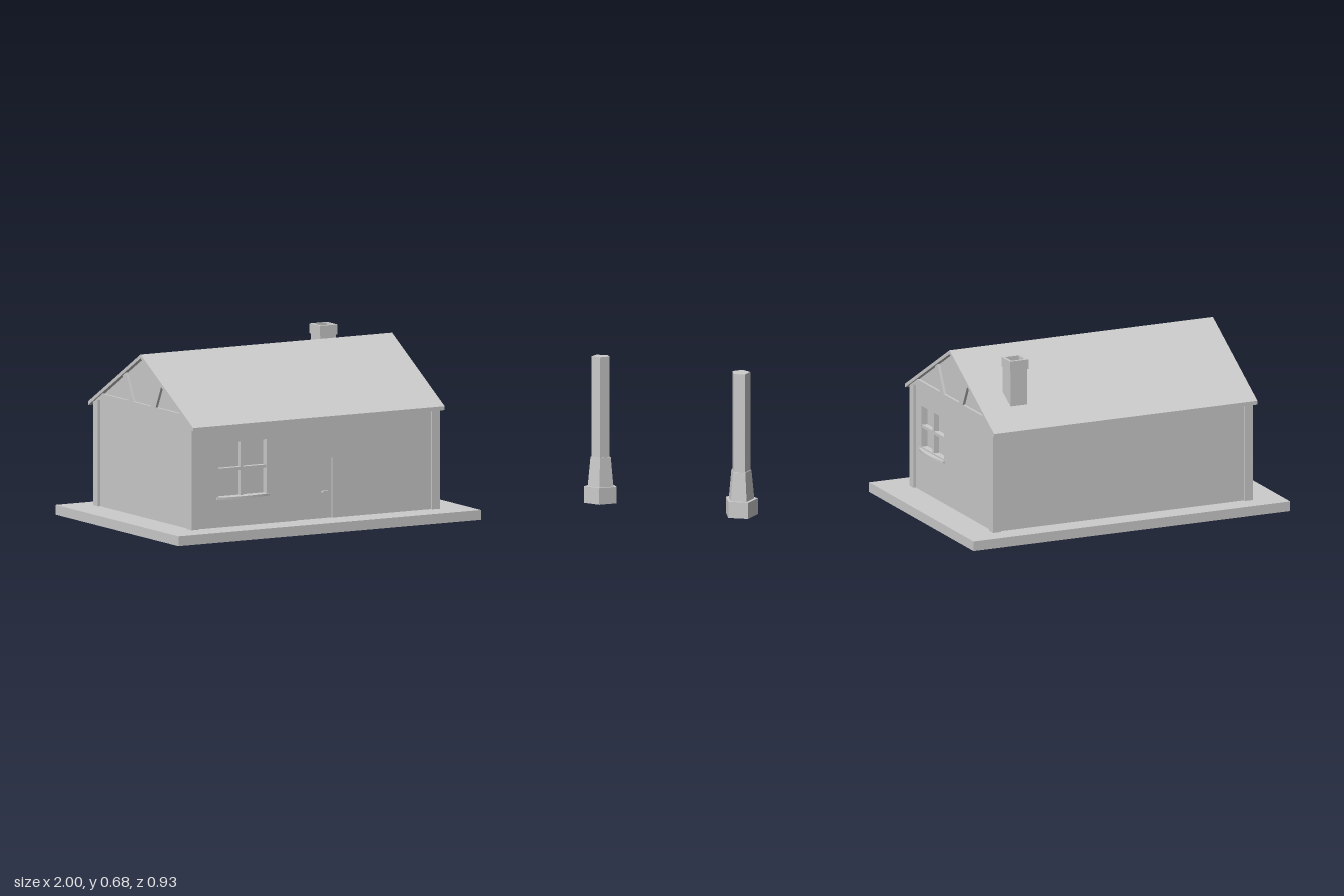
import * as THREE from 'three';

const material = new THREE.MeshStandardMaterial({ color: 0xcccccc, flatShading: true, side: THREE.DoubleSide });

const X = -0.33, Z = -0.014;          // centre of the house
const HX = 0.55, HZ = 0.374;          // outer half sizes at the corner posts
const INSET = 0.01, THICK = 0.03;     // wall setback and thickness
const FLOOR = 0.038, RIDGE = 0.655, SLOPE = 0.583;
const under = (s) => RIDGE - SLOPE * Math.abs(s);   // underside of the roof

function add(parent, name, geometry, x = 0, y = 0, z = 0) {
  const mesh = new THREE.Mesh(geometry, material);
  mesh.name = name;
  mesh.position.set(x, y, z);
  parent.add(mesh);
  return mesh;
}

function box(parent, name, x0, x1, y0, y1, z0, z1) {
  return add(parent, name, new THREE.BoxGeometry(x1 - x0, y1 - y0, z1 - z0),
    (x0 + x1) / 2, (y0 + y1) / 2, (z0 + z1) / 2);
}

const polygon = (points) => new THREE.Shape(points.map(([x, y]) => new THREE.Vector2(x, y)));
const rect = (x0, x1, y0, y1) => polygon([[x0, y0], [x1, y0], [x1, y1], [x0, y1]]);
const extrude = (shape, depth) =>
  new THREE.ExtrudeGeometry(shape, { depth, bevelEnabled: false, curveSegments: 8 });

// Four-pane window facing +z, centred on its opening at the wall face
function windowUnit(w, h, sillGap) {
  const g = new THREE.Group();
  g.name = 'window';
  const a = w / 2, b = h / 2, t = 0.006;
  box(g, 'glass', -a, a, -b, b, -0.028, -0.024);
  box(g, 'verticalBar', -t, t, -b, b, -0.024, -0.002);
  box(g, 'horizontalBar', -a, a, -t, t, -0.024, -0.002);
  // bowed sill
  const s = new THREE.Shape();
  s.moveTo(-a - 0.009, 0);
  s.lineTo(a + 0.009, 0);
  s.lineTo(a + 0.009, -0.008);
  s.quadraticCurveTo(0, -0.036, -a - 0.009, -0.008);
  const sill = add(g, 'sill', extrude(s, 0.009), 0, -b - sillGap - 0.009, 0);
  sill.rotation.x = -Math.PI / 2;
  return g;
}

// Gable end wall; local x runs along -z of the house
function gableEnd(house, side) {
  const g = new THREE.Group();
  g.name = side > 0 ? 'leftGable' : 'rightGable';
  const e = HZ - INSET;
  const wall = polygon([[-e, FLOOR], [e, FLOOR], [e, under(e)], [0, RIDGE], [-e, under(e)]]);
  const wx = side > 0 ? -0.187 : 0, wy = 0.294;
  if (side > 0) {
    wall.holes.push(rect(wx - 0.099, wx + 0.099, wy - 0.081, wy + 0.081));
    const win = windowUnit(0.198, 0.163, 0.005);
    win.position.set(wx, wy, -INSET);
    g.add(win);
  }
  add(g, 'gableWall', extrude(wall, THICK), 0, 0, -INSET - THICK);

  // tie beam and slanted braces
  const top = (RIDGE - 0.478) / SLOPE, low = (RIDGE - 0.45) / SLOPE;
  add(g, 'tieBeam', extrude(polygon([[-low, 0.45], [low, 0.45], [top, 0.478], [-top, 0.478]]), INSET), 0, 0, -INSET);
  for (const m of [-1, 1]) {
    const brace = polygon([[0.0675, 0.478], [0.1025, 0.478], [0.1475, under(0.1475)], [0.1225, under(0.1225)]]
      .map(([x, y]) => [m * x, y]));
    add(g, 'brace', extrude(brace, INSET), 0, 0, -INSET);
  }
  g.rotation.y = side * Math.PI / 2;
  g.position.set(X + side * HX, 0, Z);
  house.add(g);
}

function buildHouse() {
  const house = new THREE.Group();
  house.name = 'house';
  box(house, 'baseSlab', -1, 0.34, 0, FLOOR, -0.467, 0.467);

  // long walls, the front one with window and door openings
  const x0 = X - HX + INSET, x1 = X + HX - INSET, top = under(HZ - INSET);
  const zf = Z + HZ - INSET, zb = Z - HZ + INSET;
  const front = polygon([[x0, FLOOR], [-0.41, FLOOR], [-0.41, 0.27], [-0.25, 0.27], [-0.25, FLOOR],
    [x1, FLOOR], [x1, top], [x0, top]]);
  front.holes.push(rect(-0.755, -0.54, 0.155, 0.364));
  add(house, 'frontWall', extrude(front, THICK), 0, 0, zf - THICK);
  box(house, 'backWall', x0, x1, FLOOR, top, zb, zb + THICK);
  const win = windowUnit(0.215, 0.209, 0);
  win.position.set(-0.6475, 0.2595, zf);
  house.add(win);

  box(house, 'door', -0.41, -0.25, FLOOR, 0.27, zf - THICK, zf - 0.008);
  box(house, 'doorHandle', -0.295, -0.27, 0.138, 0.144, zf - 0.008, zf + 0.006);

  // corner posts
  for (const sx of [-1, 1]) for (const sz of [-1, 1]) {
    const post = polygon([[HZ - 0.036, FLOOR], [HZ, FLOOR], [HZ, under(HZ)], [HZ - 0.036, under(HZ - 0.036)]]
      .map(([z, y]) => [-sz * z, y]));
    const mesh = add(house, 'cornerPost', extrude(post, 0.034), X + (sx > 0 ? HX - 0.034 : -HX), 0, Z);
    mesh.rotation.y = Math.PI / 2;
  }
  gableEnd(house, 1);
  gableEnd(house, -1);

  // pitched roof slab
  const r = 0.399, t = 0.015;
  const roof = polygon([[-r, under(r)], [0, RIDGE], [r, under(r)], [r, under(r) + t], [0, RIDGE + t], [-r, under(r) + t]]);
  add(house, 'roof', extrude(roof, 1.114), X - 0.557, 0, Z).rotation.y = Math.PI / 2;

  // hollow chimney with a wider cap
  const tube = (name, half, y0, y1) => {
    const s = rect(-half, half, -half, half);
    s.holes.push(rect(-0.028, 0.028, -0.028, 0.028));
    add(house, name, extrude(s, y1 - y0), 0.069, y0, -0.264).rotation.x = -Math.PI / 2;
  };
  tube('chimneyShaft', 0.035, 0.46, 0.645);
  tube('chimneyCap', 0.039, 0.645, 0.683);
  box(house, 'chimneyFloor', 0.04, 0.098, 0.645, 0.65, -0.293, -0.235);
  return house;
}

// Free-standing five-sided pillar
function buildPillar() {
  const pillar = new THREE.Group();
  pillar.name = 'pillar';
  const tier = (name, rTop, rBottom, y0, y1) => add(pillar, name,
    new THREE.CylinderGeometry(rTop, rBottom, y1 - y0, 5, 1, false, Math.PI), 0.936, (y0 + y1) / 2, 0.355);
  tier('pillarFoot', 0.0655, 0.0655, 0.008, 0.072);
  tier('pillarFlare', 0.041, 0.052, 0.072, 0.185);
  tier('pillarShaft', 0.0366, 0.0366, 0.185, 0.574);
  return pillar;
}

export function createModel() {
  const model = new THREE.Group();
  model.name = 'cottageWithPillar';
  model.add(buildHouse(), buildPillar());
  return model;
}
